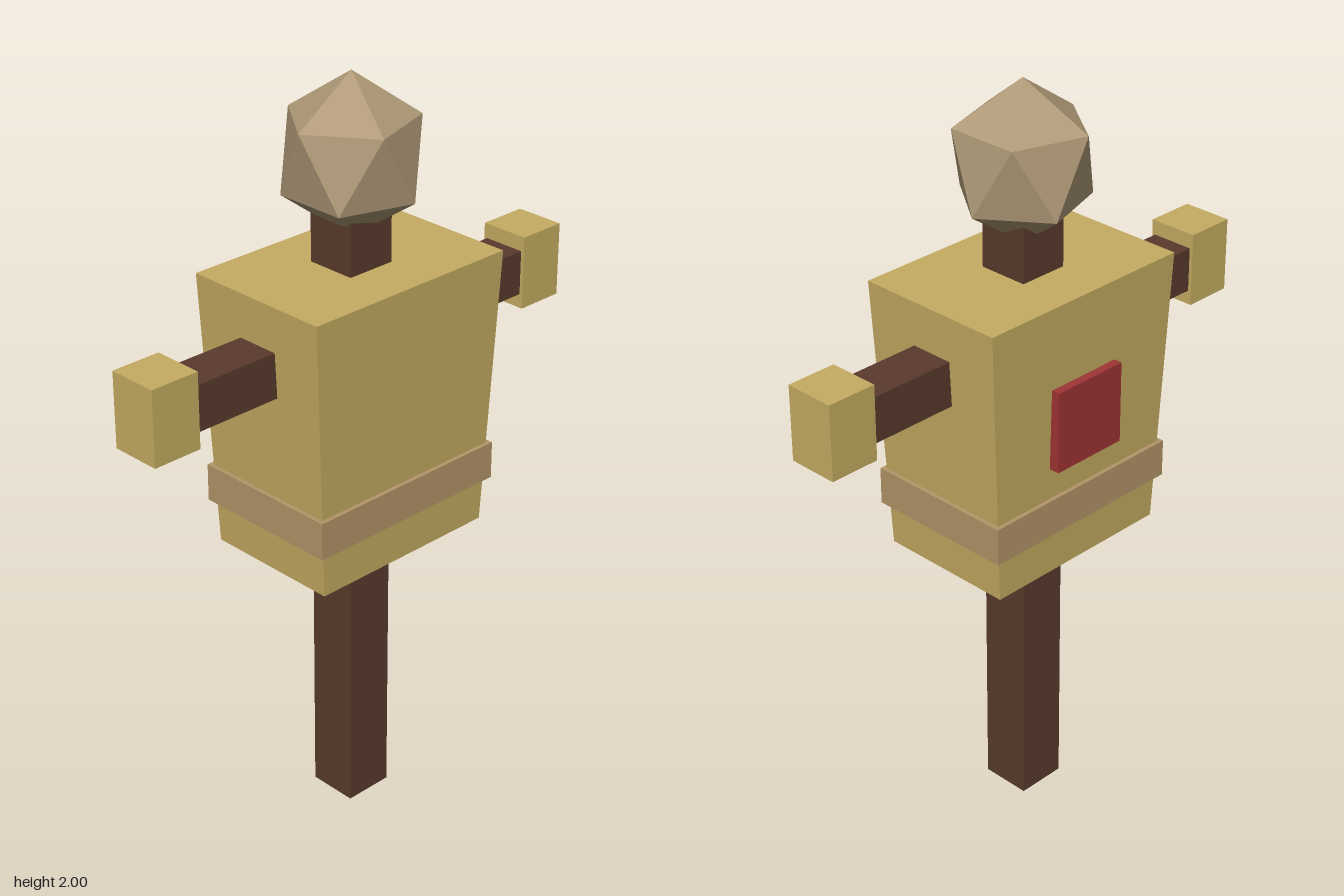
import * as THREE from 'three';

function material(name, color) {
  const m = new THREE.MeshStandardMaterial({ color });
  m.name = name;
  return m;
}

export function createModel() {
  const wood = material('dark wood', 0x5a3b2d);
  const straw = material('straw', 0xc6ad62);
  const rope = material('rope tan', 0xb39568);
  const burlap = material('burlap', 0xb09a78);
  const red = material('red cloth', 0xa03434);

  const model = new THREE.Group();
  model.name = 'scarecrow';
  const Z = 0.0085; // post axis, offset by the patch on the back

  function add(name, geometry, mat, x, y, z = Z) {
    const mesh = new THREE.Mesh(geometry, mat);
    mesh.name = name;
    mesh.position.set(x, y, z);
    model.add(mesh);
    return mesh;
  }

  // Upright post and crossbeam
  add('post', new THREE.BoxGeometry(0.136, 1.72, 0.136), wood, 0, 0.86);
  add('crossbeam', new THREE.BoxGeometry(1.12, 0.12, 0.118), wood, 0, 1.34);

  // Tunic, narrowing towards the hem
  const tunic = new THREE.BoxGeometry(0.622, 0.74, 0.416);
  const p = tunic.attributes.position;
  for (let i = 0; i < p.count; i++) {
    if (p.getY(i) < 0) {
      p.setX(i, p.getX(i) * 0.88);
      p.setZ(i, p.getZ(i) * 0.91);
    }
  }
  tunic.computeVertexNormals();
  add('tunic', tunic, straw, 0, 1.15);

  // Belt and back patch
  add('belt', new THREE.BoxGeometry(0.592, 0.1, 0.412), rope, 0, 0.948);
  add('backPatch', new THREE.BoxGeometry(0.218, 0.218, 0.04), red, 0, 1.193, -0.197);

  // Straw hands
  for (const [side, s] of [['left', 1], ['right', -1]]) {
    add(side + 'Hand', new THREE.BoxGeometry(0.135, 0.198, 0.137), straw, s * 0.6145, 1.341);
  }

  // Faceted head, standing on a corner and stretched upwards
  const head = new THREE.IcosahedronGeometry(0.188, 0);
  head.rotateX(-Math.atan((1 + Math.sqrt(5)) / 2));
  head.rotateY(-Math.PI / 2);
  head.scale(1, 1.1, 1);
  head.computeVertexNormals();
  add('head', head, burlap, 0, 1.793);

  return model;
}
